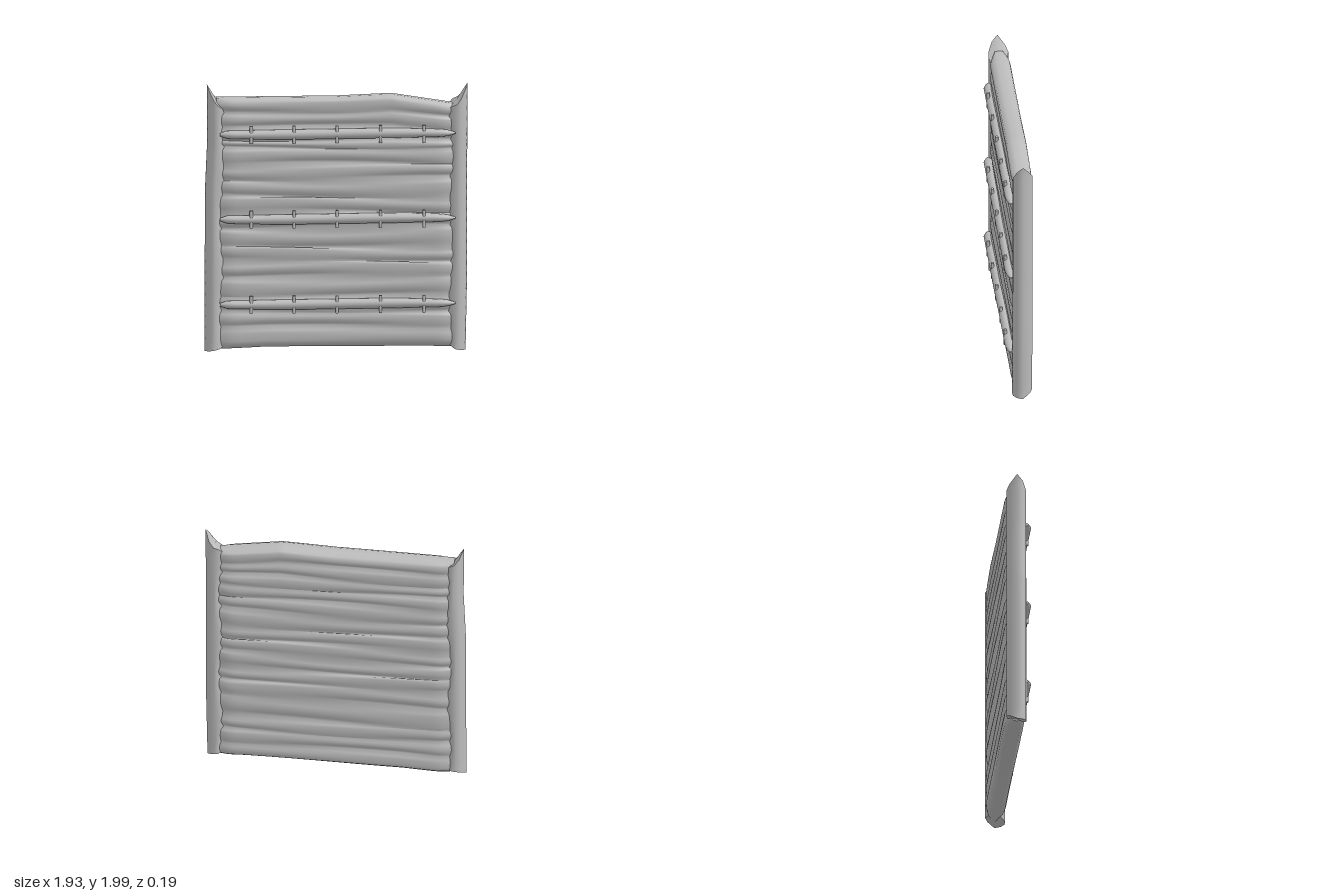
import * as THREE from 'three';

const cloth = new THREE.MeshStandardMaterial({ color: 0xbcbcbc });
cloth.name = 'grey cloth';

// Joins rings of points into a smooth closed skin with capped ends
function loft(rings) {
  const n = rings[0].length, pos = [], idx = [];
  const add = (p) => pos.push(p[0], p[1], p[2]) / 3 - 1;
  rings.forEach((ring) => ring.forEach(add));
  for (let i = 0; i < rings.length - 1; i++) {
    for (let j = 0; j < n; j++) {
      const a = i * n + j, b = i * n + (j + 1) % n;
      idx.push(a, b, a + n, b, b + n, a + n);
    }
  }
  [rings[0], rings[rings.length - 1]].forEach((ring, end) => {
    const first = ring.map(add);
    const mid = add([0, 1, 2].map((k) => ring.reduce((s, p) => s + p[k], 0) / n));
    for (let j = 0; j < n; j++) {
      const a = first[j], b = first[(j + 1) % n];
      if (end) idx.push(a, b, mid); else idx.push(b, a, mid);
    }
  });
  const geo = new THREE.BufferGeometry();
  geo.setAttribute('position', new THREE.Float32BufferAttribute(pos, 3));
  geo.setIndex(idx);
  geo.computeVertexNormals();
  return geo;
}

// Piecewise linear lookup in [x, value] pairs
function lerpTable(table, x) {
  for (let i = 1; i < table.length; i++) {
    const [x0, v0] = table[i - 1], [x1, v1] = table[i];
    if (x <= x1) return v0 + (v1 - v0) * Math.max(0, (x - x0) / (x1 - x0));
  }
  return table[table.length - 1][1];
}

// Heights of the creases between the padded rolls
const frontCreases = [0.04, 0.2, 0.31, 0.43, 0.57, 0.69, 0.8, 0.94, 1.05, 1.17, 1.3, 1.41, 1.53, 1.59, 1.69, 1.79, 1.9];
const backCreases = [0.04, 0.18, 0.3, 0.42, 0.6, 0.74, 0.86, 0.98, 1.1, 1.22, 1.35, 1.47, 1.58, 1.68, 1.79, 1.9];
const topEdge = [[-0.9, 1.9], [0, 1.905], [0.4, 1.922], [0.9, 1.845]];
const bottomEdge = [[-0.9, 0.03], [-0.5, 0.05], [0.7, 0.045], [0.9, 0.035]];

// One rolled side of the quilt at a given x, listed from bottom to top
function rolls(creases, x, face, depth) {
  const pts = [], steps = 6, last = creases.length - 1;
  const inset = Math.max(0, (Math.abs(x) - 0.74) / 0.14);
  for (let i = 0; i < last; i++) {
    for (let s = 0; s < steps; s++) {
      const t = s / steps;
      const y = creases[i] + (creases[i + 1] - creases[i]) * t;
      // Creases wander and fade along the width
      const wander = 0.018 * Math.sin(x * 2.3 + i * 1.9) * Math.sin(Math.PI * Math.min(1, (y - 0.04) / 1.86));
      const fold = depth * (0.65 + 0.35 * Math.sin(x * 3 + i * 2.4));
      const edge = i === 0 && s === 0 ? 0.02 : 0;
      const z = face - fold * (1 - Math.sin(Math.PI * t)) - edge - 0.03 * Math.min(1, inset) ** 2;
      pts.push([x, y + wander, z]);
    }
  }
  pts.push([x, creases[last], face - depth - 0.02]);
  return pts;
}

function quilt() {
  const rings = [];
  for (let k = 0; k <= 48; k++) {
    const x = -0.885 + 1.77 * k / 48;
    const front = rolls(frontCreases, x, 0.054, 0.026);
    const back = rolls(backCreases, x, 0.097, 0.026).map(([a, b, c]) => [a, b, -c]).reverse();
    const lo = lerpTable(bottomEdge, x), hi = lerpTable(topEdge, x);
    const fit = ([a, b, c]) => {
      const high = Math.max(0, (b - 1.5) / 0.4), low = Math.max(0, (0.3 - b) / 0.26);
      return [a, b + (hi - 1.9) * high + (lo - 0.04) * low, c];
    };
    rings.push([...front, ...back].map(fit));
  }
  return loft(rings);
}

// Side bolster section: distance from centre, z, top height, bottom height
const bolsterSection = [
  [0.962, -0.018, 2.0, 0.012], [0.945, 0.025, 1.955, 0.015], [0.915, 0.052, 1.89, 0.02],
  [0.885, 0.055, 1.85, 0.025], [0.855, 0.042, 1.83, 0.035], [0.825, 0.01, 1.81, 0.06],
  [0.825, -0.05, 1.82, 0.07], [0.86, -0.085, 1.87, 0.06], [0.895, -0.092, 1.89, 0.06],
  [0.93, -0.072, 1.93, 0.045],
];

function bolster(side) {
  const rings = [];
  for (let k = 0; k <= 24; k++) {
    const t = k / 24;
    const ring = bolsterSection.map(([d, z, top, bottom]) => {
      const y = bottom + (top - bottom) * t;
      const lean = side < 0 ? lerpTable([[0, 0.008], [1.2, 0.006], [1.6, -0.012], [2, -0.008]], y)
        : lerpTable([[0, -0.014], [0.5, -0.004], [2, 0]], y);
      const pucker = d < 0.88 ? 0.012 * Math.sin(y * 9 + side) : 0;
      return [side * (d + lean + pucker), y, z];
    });
    rings.push(side > 0 ? ring.reverse() : ring);
  }
  // The winding mirrors with the side
  return loft(side > 0 ? rings.reverse().map((r) => r) : rings.reverse());
}

// Padded sleeve that narrows to both ends
function sleeve() {
  const rings = [];
  const girth = [[-0.87, 0.006], [-0.82, 0.026], [-0.4, 0.034], [0.4, 0.034], [0.8, 0.025], [0.87, 0.006]];
  for (let k = 0; k <= 32; k++) {
    const x = -0.86 + 1.73 * k / 32, r = lerpTable(girth, x), ring = [];
    for (let j = 0; j < 14; j++) {
      const a = j / 14 * Math.PI * 2;
      const z = 0.06 + 0.038 * Math.min(1, r / 0.026) * Math.cos(a);
      ring.push([x, r * Math.sin(a) * 1.1 + 0.004 * Math.sin(x * 3), z]);
    }
    rings.push(ring);
  }
  return loft(rings);
}

// Flips a skin if its faces point inward
function outward(geo) {
  const p = geo.attributes.position, index = geo.index;
  const a = new THREE.Vector3(), b = new THREE.Vector3(), c = new THREE.Vector3();
  let volume = 0;
  for (let i = 0; i < index.count; i += 3) {
    a.fromBufferAttribute(p, index.getX(i));
    b.fromBufferAttribute(p, index.getX(i + 1));
    c.fromBufferAttribute(p, index.getX(i + 2));
    volume += a.dot(b.cross(c));
  }
  if (volume < 0) {
    geo.setIndex(Array.from(index.array).reverse());
    geo.computeVertexNormals();
  }
  return geo;
}

export function createModel() {
  const model = new THREE.Group();
  model.name = 'quiltedPanel';
  const part = (name, geo, parent = model) => {
    const mesh = new THREE.Mesh(geo, cloth);
    mesh.name = name;
    parent.add(mesh);
    return mesh;
  };

  part('quilt', outward(quilt()));
  part('leftBolster', outward(bolster(1)));
  part('rightBolster', outward(bolster(-1)));

  // Three sleeves, each with five toggles
  const sleeveGeo = outward(sleeve());
  const toggleGeo = new THREE.CylinderGeometry(0.012, 0.012, 0.13, 10);
  [0.37, 1.005, 1.638].forEach((y) => {
    const strap = new THREE.Group();
    strap.name = 'strap';
    strap.position.y = y;
    model.add(strap);
    part('sleeve', sleeveGeo, strap);
    [-0.63, -0.315, 0, 0.32, 0.64].forEach((x) => {
      part('toggle', toggleGeo, strap).position.set(x, 0, 0.082);
    });
  });
  return model;
}
